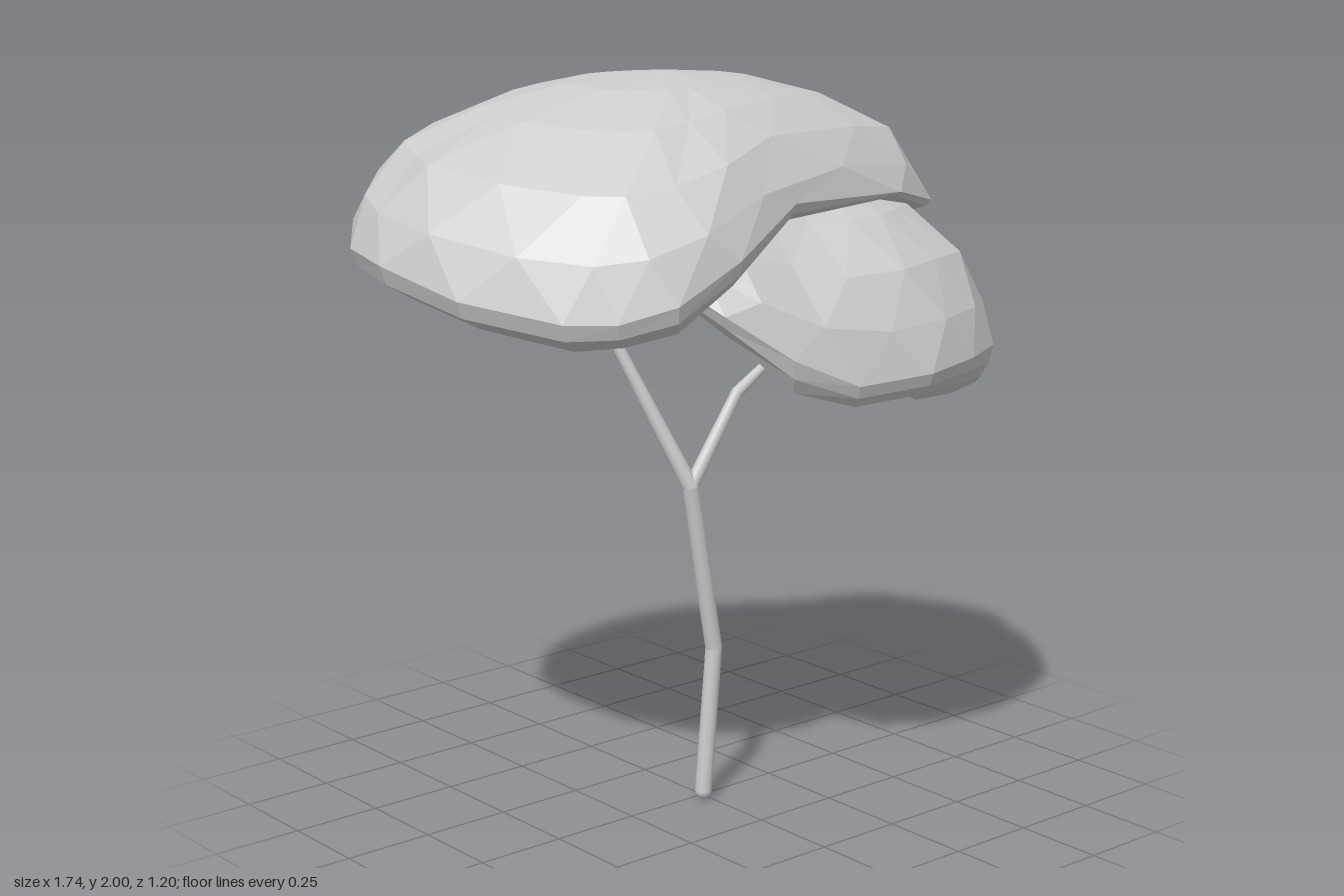
import * as THREE from 'three';

const grey = new THREE.MeshStandardMaterial({ color: 0xcccccc, flatShading: true });
const barkMaterial = new THREE.MeshStandardMaterial({ color: 0xcccccc });

// Rim rows: x, z, height of the widest edge, height of the lip below it
const upperRim = [
  [-0.87, -0.22, 1.56, 1.47], [-0.845, -0.39, 1.58, 1.50], [-0.75, -0.52, 1.63, 1.55],
  [-0.62, -0.59, 1.70, 1.59], [-0.45, -0.60, 1.77, 1.62], [-0.29, -0.56, 1.82, 1.65],
  [-0.07, -0.43, 1.86, 1.69], [0.20, -0.24, 1.86, 1.72], [0.51, -0.04, 1.78, 1.68],
  [0.635, 0.12, 1.66, 1.61], [0.635, 0.22, 1.63, 1.60], [0.44, 0.30, 1.68, 1.66],
  [0.00, 0.37, 1.70, 1.65], [-0.25, 0.445, 1.59, 1.52], [-0.45, 0.445, 1.50, 1.42],
  [-0.58, 0.37, 1.46, 1.39], [-0.68, 0.28, 1.46, 1.38], [-0.82, 0.04, 1.50, 1.42],
];
const lowerRim = [
  [0.08, -0.33, 1.55, 1.48], [0.17, -0.41, 1.50, 1.42], [0.30, -0.49, 1.43, 1.34],
  [0.46, -0.52, 1.36, 1.25], [0.60, -0.49, 1.31, 1.17], [0.72, -0.40, 1.25, 1.10],
  [0.81, -0.25, 1.20, 1.05], [0.865, -0.02, 1.18, 1.00], [0.84, 0.15, 1.19, 1.05],
  [0.77, 0.32, 1.22, 1.12], [0.62, 0.48, 1.27, 1.18], [0.46, 0.56, 1.27, 1.20],
  [0.27, 0.60, 1.26, 1.20], [0.05, 0.56, 1.25, 1.19], [-0.12, 0.50, 1.33, 1.24],
  [-0.28, 0.42, 1.45, 1.39], [-0.33, 0.28, 1.52, 1.47], [-0.13, -0.08, 1.58, 1.52],
];

// Faceted cap: shallow underside, rolled lip and rounded dome
function canopy(name, rim, cx, cz, top, under, lipScale) {
  const n = rim.length;
  const { lerp } = THREE.MathUtils;
  const at = (u, r, height) => {
    const i = Math.floor(u) % n, f = u - Math.floor(u);
    const [x, z, wide, lip] = rim[i].map((v, k) => lerp(v, rim[(i + 1) % n][k], f));
    return [lerp(cx, x, r), height(wide, lip), lerp(cz, z, r)];
  };
  const rings = [];
  const ring = (r, height, shift = 0, wobble = 0) => rings.push(
    rim.map((_, j) => at(j + shift, r * (1 + wobble * Math.sin(j * 2.4 + shift * 5)), height)));

  ring(0, () => under);
  ring(0.55, (w, l) => lerp(l, under, 0.75));
  ring(lipScale, (w, l) => l);
  ring(0.98, (w, l) => lerp(l, w, 0.45));
  ring(1, (w) => w);
  [0.3, 0.62, 0.95, 1.25].forEach((t, k) =>
    ring(Math.cos(t), (w) => lerp(w, top, Math.sin(t) ** 1.12), (k + 1) / 2, k ? 0.025 : 0));
  ring(0, () => top);

  const points = [];
  for (let i = 0; i < rings.length - 1; i++) {
    for (let j = 0; j < n; j++) {
      const k = (j + 1) % n;
      const a = rings[i][j], b = rings[i][k], c = rings[i + 1][j], d = rings[i + 1][k];
      if (i === 0) points.push(...a, ...c, ...d);
      else if (i === rings.length - 2) points.push(...a, ...c, ...b);
      else points.push(...a, ...c, ...b, ...b, ...c, ...d);
    }
  }
  const geometry = new THREE.BufferGeometry();
  geometry.setAttribute('position', new THREE.Float32BufferAttribute(points, 3));
  geometry.computeVertexNormals();
  const mesh = new THREE.Mesh(geometry, grey);
  mesh.name = name;
  return mesh;
}

// Limb of tapered segments with a rounded joint at each point
function limb(name, path, r0, r1) {
  const group = new THREE.Group();
  group.name = name;
  const pts = path.map((p) => new THREE.Vector3(...p));
  const radius = (i) => r0 + (r1 - r0) * i / (pts.length - 1);
  pts.forEach((p, i) => {
    const joint = new THREE.Mesh(new THREE.SphereGeometry(radius(i), 12, 8), barkMaterial);
    joint.position.copy(p);
    group.add(joint);
    if (i === 0) return;
    const dir = p.clone().sub(pts[i - 1]);
    const segment = new THREE.Mesh(
      new THREE.CylinderGeometry(radius(i), radius(i - 1), dir.length(), 12, 1, true), barkMaterial);
    segment.position.copy(p).add(pts[i - 1]).multiplyScalar(0.5);
    segment.quaternion.setFromUnitVectors(new THREE.Vector3(0, 1, 0), dir.normalize());
    group.add(segment);
  });
  return group;
}

export function createModel() {
  const tree = new THREE.Group();
  tree.name = 'tree';
  tree.add(
    limb('trunk', [[-0.015, 0.024, 0.025], [0.022, 0.43, 0.025], [-0.06, 0.9, 0.025]], 0.024, 0.023),
    limb('rightBranch', [[-0.06, 0.9, 0.025], [-0.21, 1.31, -0.12]], 0.023, 0.016),
    limb('rightUpperTwig', [[-0.21, 1.31, -0.12], [-0.17, 1.45, -0.03], [-0.16, 1.62, 0.02]], 0.015, 0.01),
    limb('rightOuterTwig', [[-0.21, 1.31, -0.12], [-0.38, 1.42, -0.14], [-0.56, 1.57, -0.28]], 0.015, 0.009),
    limb('leftBranch', [[-0.06, 0.9, 0.025], [0.09, 1.14, 0.04], [0.2, 1.2, 0.03], [0.44, 1.33, 0]], 0.02, 0.009),
    canopy('upperCanopy', upperRim, -0.02, -0.13, 2.0, 1.62, 0.9),
    canopy('lowerCanopy', lowerRim, 0.28, 0.0, 1.73, 1.3, 0.94),
  );
  return tree;
}
